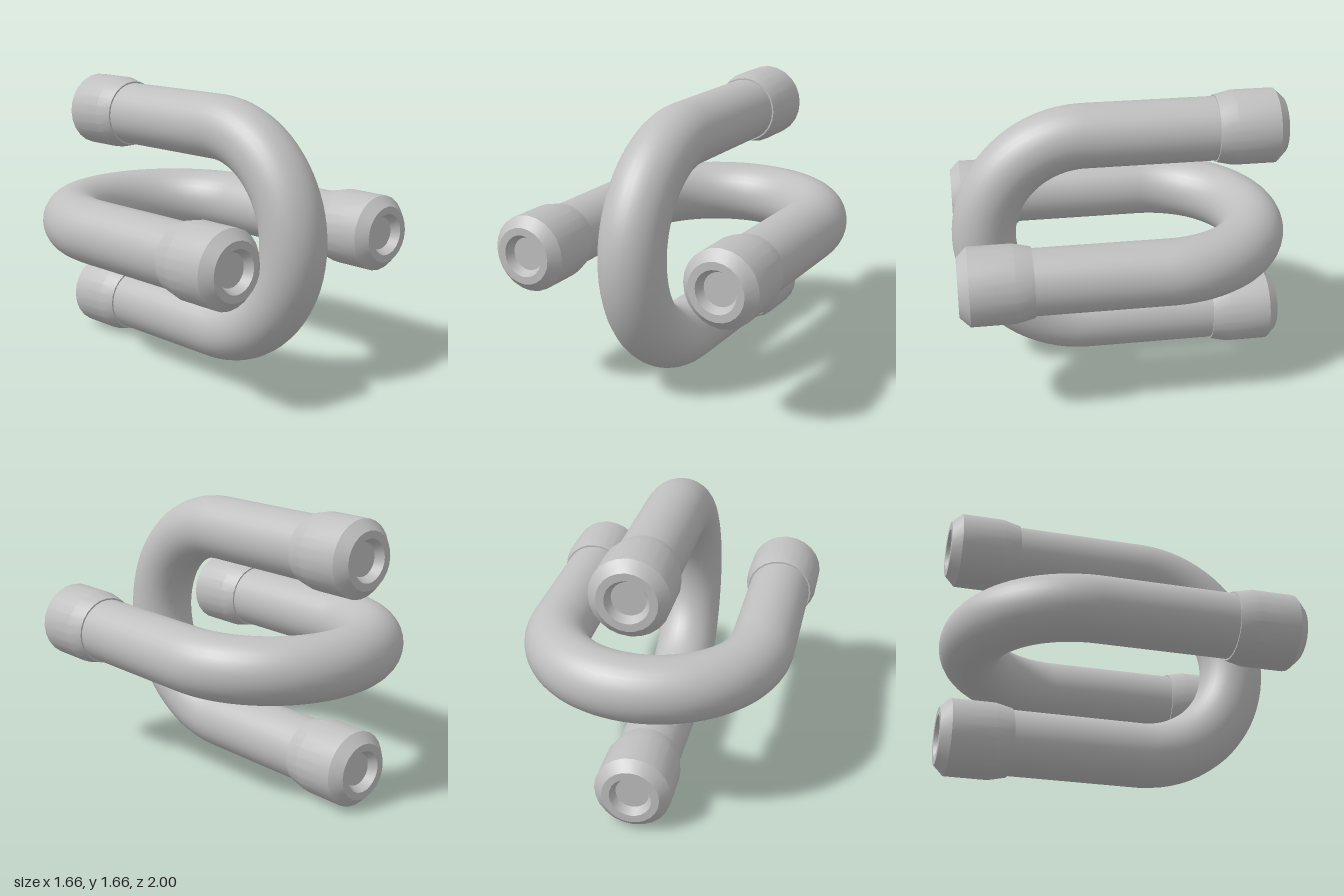
import * as THREE from 'three';
import { toCreasedNormals } from 'three/addons/utils/BufferGeometryUtils.js';

const BEND = 0.607;     // centreline radius of the bend, also the leg offset
const TUBE = 0.19;      // pipe radius
const BEND_Z = -0.203;  // where the legs meet the bend
const LEG_END = 0.62;   // pipe end, hidden inside the collar

// U-shaped centreline: straight leg, half circle, straight leg
class UCurve extends THREE.Curve {
  getPoint(t, target = new THREE.Vector3()) {
    const leg = LEG_END - BEND_Z;
    const arc = Math.PI * BEND;
    const s = t * (2 * leg + arc);
    if (s < leg) return target.set(-BEND, 0, LEG_END - s);
    if (s > leg + arc) return target.set(BEND, 0, BEND_Z + s - leg - arc);
    const a = (s - leg) / BEND;
    return target.set(-BEND * Math.cos(a), 0, BEND_Z - BEND * Math.sin(a));
  }
}

export function createModel() {
  const model = new THREE.Group();
  model.name = 'crossedPipes';
  const grey = new THREE.MeshStandardMaterial({ color: 0xbfbfbf });
  grey.name = 'grey';

  const pipeGeometry = new THREE.TubeGeometry(new UCurve(), 72, TUBE, 32);

  // Collar profile (radius, distance along the leg), ending in a tapered socket
  const profile = [
    [0.18, 0.572], [0.2, 0.572], [0.223, 0.675], [0.223, 0.927],
    [0.166, 0.986], [0.122, 0.986], [0.096, 0.935], [0, 0.935],
  ].map(([r, z]) => new THREE.Vector2(r, z));
  const collarGeometry = toCreasedNormals(
    new THREE.LatheGeometry(profile, 24).rotateX(Math.PI / 2), 0.3);

  // One U pipe with a collar on each leg
  function uPipe(name) {
    const group = new THREE.Group();
    group.name = name;
    const pipe = new THREE.Mesh(pipeGeometry, grey);
    pipe.name = 'bentPipe';
    group.add(pipe);
    for (const side of [-1, 1]) {
      const collar = new THREE.Mesh(collarGeometry, grey);
      collar.name = side > 0 ? 'leftCollar' : 'rightCollar';
      collar.position.x = side * BEND;
      group.add(collar);
    }
    group.position.y = 0.83;
    model.add(group);
    return group;
  }

  // Two interlocked pipes: one lies flat, the other stands and faces the opposite way
  uPipe('flatPipe');
  uPipe('uprightPipe').rotation.set(0, Math.PI, Math.PI / 2);

  return model;
}
